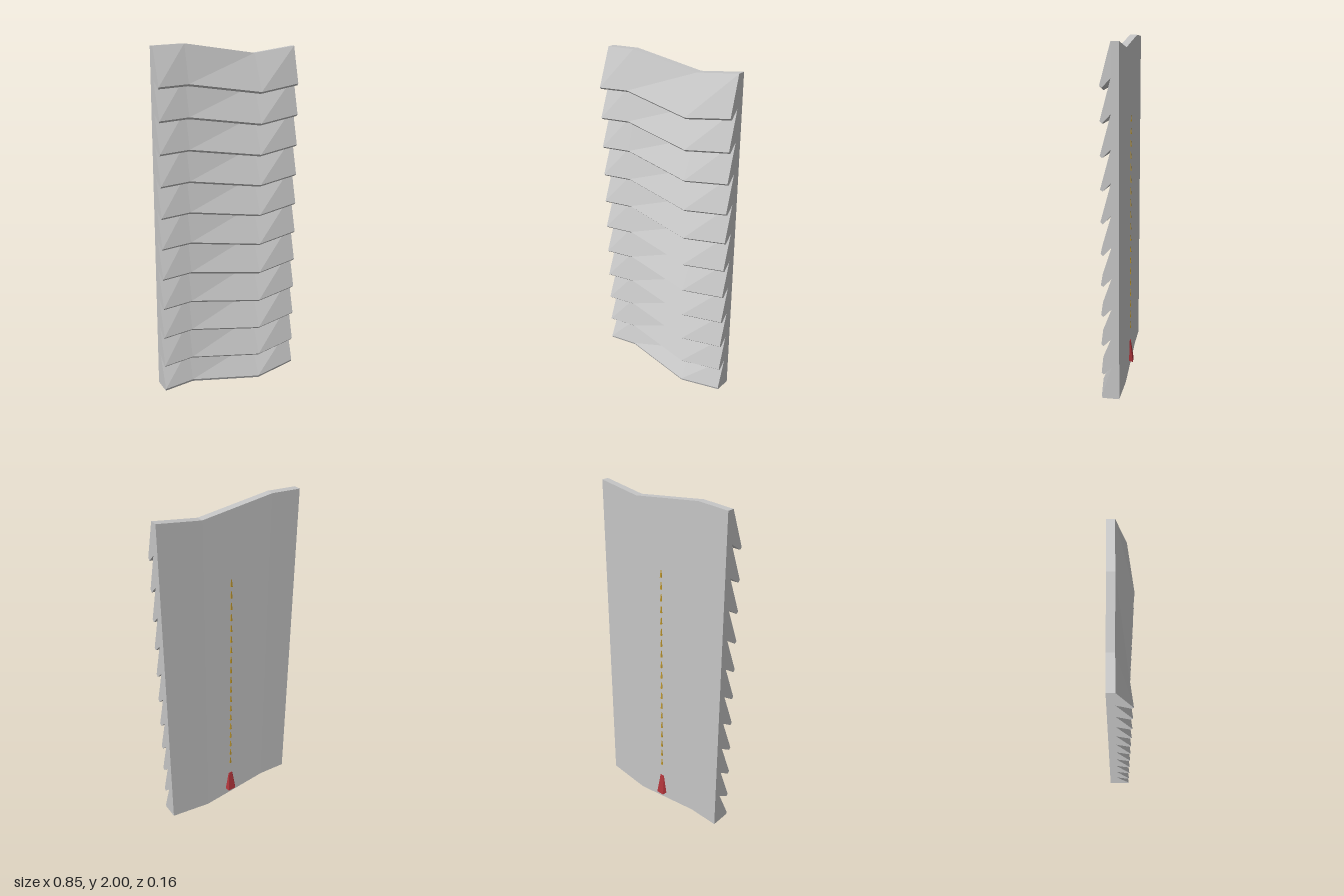
import * as THREE from 'three';

const grey = new THREE.MeshStandardMaterial({ color: 0xc6c6c6 });
grey.name = 'light grey';
const red = new THREE.MeshStandardMaterial({ color: 0xb0343a });
red.name = 'red';
const gold = new THREE.MeshStandardMaterial({ color: 0xb8922a });
gold.name = 'gold';

// Side profile [z, y] of the saw-toothed panel, counter-clockwise from the back bottom corner
function profile({ top, lip, back }) {
  const pitch = 0.1755, teeth = 11, root = back + 0.042;
  const points = [[back, top - 1.95], [lip - 0.005, top - 1.95], [lip, top - 1.937]];
  for (let k = teeth - 1; k >= 0; k--) {
    const y = top - k * pitch;
    if (k < teeth - 1) points.push([lip - 0.012, y - 0.222], [lip, y - 0.211]);
    points.push([root, y]);
  }
  points.push([back, top]);
  return points;
}

// Flat-shaded skin through the profiles, closed at both ends
function loft(stations) {
  const rings = stations.map((s) => profile(s).map(([z, y]) => [s.x, y, z]));
  const n = rings[0].length, pos = [];
  const tri = (a, b, c) => pos.push(...a, ...b, ...c);
  for (let s = 0; s < rings.length - 1; s++) {
    for (let i = 0; i < n; i++) {
      const j = (i + 1) % n, a = rings[s], b = rings[s + 1];
      tri(a[i], b[i], b[j]);
      tri(a[i], b[j], a[j]);
    }
  }
  [[rings[0], 1], [rings[rings.length - 1], -1]].forEach(([ring, sign]) => {
    const flat = ring.map((p) => new THREE.Vector2(p[2], p[1]));
    for (const [a, b, c] of THREE.ShapeUtils.triangulateShape(flat, [])) {
      const turn = THREE.ShapeUtils.area([flat[a], flat[b], flat[c]]);
      if (turn * sign > 0) tri(ring[a], ring[b], ring[c]);
      else tri(ring[a], ring[c], ring[b]);
    }
  });
  const g = new THREE.BufferGeometry();
  g.setAttribute('position', new THREE.Float32BufferAttribute(pos, 3));
  g.computeVertexNormals();
  return g;
}

// Wedge on the back: wide and proud at the bottom, narrow and flush at the top
function wedge(width, height, depth) {
  const g = new THREE.BoxGeometry(1, 1, 1).toNonIndexed();
  const p = g.attributes.position;
  for (let i = 0; i < p.count; i++) {
    const upper = p.getY(i) > 0, outer = p.getZ(i) < 0;
    const w = width * (upper ? 0.42 : 1) * (outer ? 0.68 : 1);
    const y = upper ? height : outer ? 0 : height * 0.08;
    const z = outer ? -depth * (upper ? 0.15 : 1) : 0.002;
    p.setXYZ(i, p.getX(i) * w, y, z);
  }
  g.computeVertexNormals();
  return g;
}

export function createModel() {
  const model = new THREE.Group();
  model.name = 'toothedPanel';
  const add = (name, geometry, material, x = 0, y = 0, z = 0) => {
    const mesh = new THREE.Mesh(geometry, material);
    mesh.name = name;
    mesh.position.set(x, y, z);
    model.add(mesh);
  };

  // Wavy panel with overlapping teeth across the front
  add('panel', loft([
    { x: -0.427, top: 1.988, lip: 0.065, back: -0.06 },
    { x: -0.248, top: 2.0, lip: 0.041, back: -0.06 },
    { x: 0.173, top: 1.95, lip: 0.077, back: -0.058 },
    { x: 0.427, top: 1.99, lip: 0.042, back: -0.057 },
  ]), grey);

  // Red marker near the foot of the back
  add('redMarker', wedge(0.073, 0.135, 0.021), red, 0, 0.055, -0.059);

  // Row of small gold studs up the middle of the back
  const stud = wedge(0.016, 0.042, 0.005);
  for (let i = 0; i < 19; i++) add('goldStud', stud, gold, 0, 0.275 + i * 0.0702, -0.059);

  return model;
}
